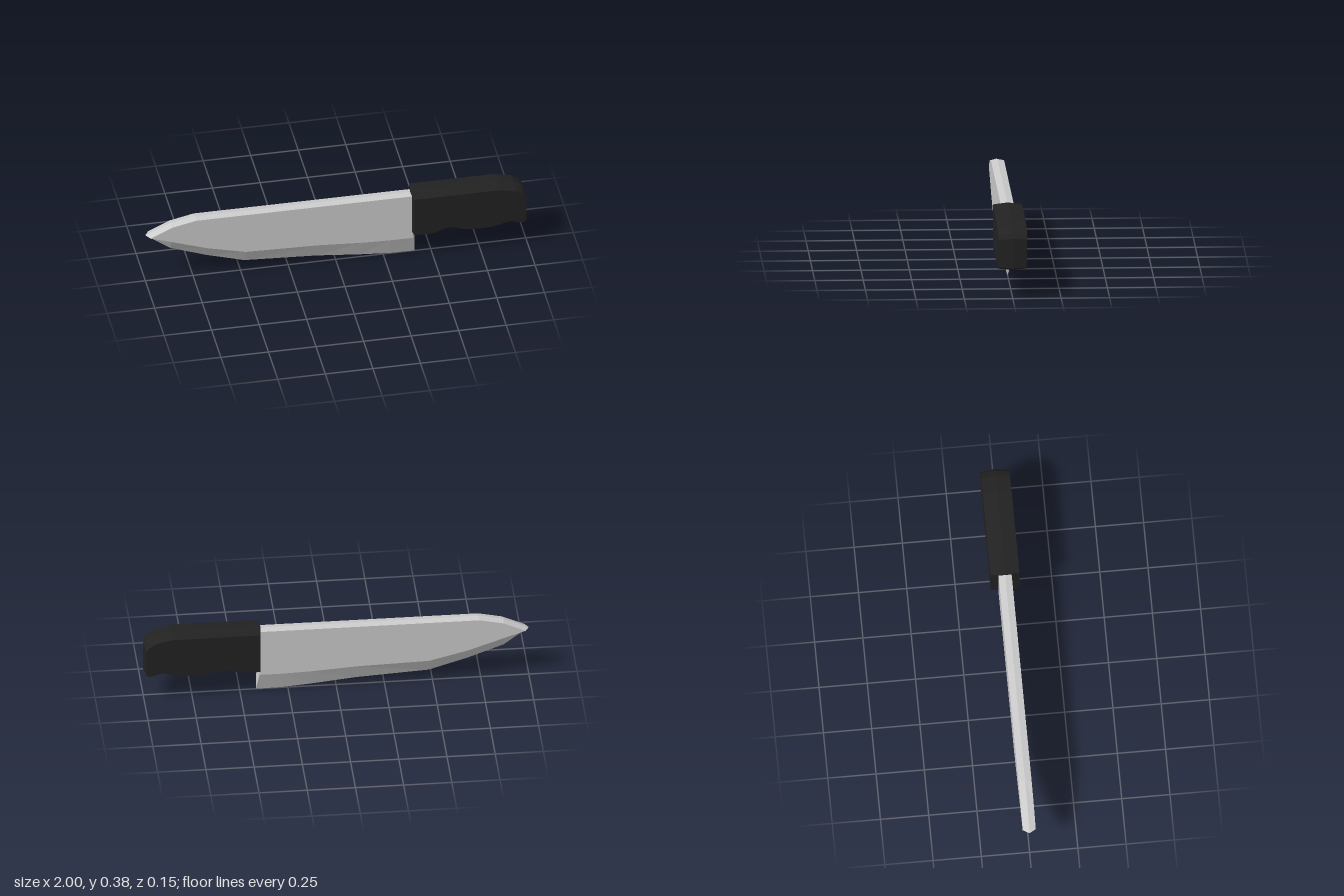
import * as THREE from 'three';

// Slab with a ridged rim: each row is [rimX, rimY, sideX, sideY], counter-clockwise
// from the front. The rim lies on z = 0, the flat sides on z = +/- depth.
function ridgedSlab(rows, depth) {
  const pos = [];
  const rim = rows.map(([x, y]) => [x, y, 0]);
  const side = rows.map(([, , x, y]) => [x, y, depth]);
  const tri = (a, b, c) => {
    pos.push(...a, ...b, ...c);
    for (const p of [a, c, b]) pos.push(p[0], p[1], -p[2]); // mirrored half
  };
  rows.forEach((_, i) => {
    const j = (i + 1) % rows.length;
    tri(rim[i], rim[j], side[j]);
    tri(rim[i], side[j], side[i]);
  });
  const flat = side.map(([x, y]) => new THREE.Vector2(x, y));
  for (const [a, b, c] of THREE.ShapeUtils.triangulateShape(flat, [])) tri(side[a], side[b], side[c]);
  const geometry = new THREE.BufferGeometry();
  geometry.setAttribute('position', new THREE.Float32BufferAttribute(pos, 3));
  geometry.computeVertexNormals();
  return geometry;
}

function part(name, geometry, color) {
  const mesh = new THREE.Mesh(geometry, new THREE.MeshStandardMaterial({ color, flatShading: true }));
  mesh.name = name;
  return mesh;
}

export function createModel() {
  const group = new THREE.Group();
  group.name = 'kitchenKnife';

  // Blade: tip, cutting edge with its bevel line, heel, then spine
  const blade = [
    [-1, 0.287, -0.98, 0.286],
    [-0.87, 0.19, -0.87, 0.25],
    [-0.68, 0.12, -0.68, 0.185],
    [-0.48, 0.06, -0.48, 0.135],
    [-0.1, 0.038, -0.1, 0.125],
    [0.13, 0.014, 0.13, 0.11],
    [0.28, 0.002, 0.28, 0.105],
    [0.415, 0, 0.4, 0.105],
    [0.415, 0.372, 0.4, 0.366],
    [-0.74, 0.372, -0.74, 0.366],
    [-0.87, 0.347, -0.865, 0.339],
  ];
  group.add(part('blade', ridgedSlab(blade, 0.034), 0xcccccc));

  // Handle: finger grooves along the bottom, butt, then rounded top
  const handle = [
    [0.392, 0.14, 0.4, 0.148],
    [0.48, 0.14, 0.478, 0.148],
    [0.52, 0.147, 0.518, 0.155],
    [0.565, 0.164, 0.563, 0.172],
    [0.6, 0.167, 0.6, 0.175],
    [0.65, 0.148, 0.652, 0.156],
    [0.7, 0.139, 0.702, 0.147],
    [0.8, 0.139, 0.798, 0.147],
    [0.85, 0.148, 0.848, 0.156],
    [0.9, 0.164, 0.9, 0.172],
    [0.975, 0.145, 0.972, 0.154],
    [1, 0.157, 0.99, 0.163],
    [1, 0.314, 0.99, 0.308],
    [0.98, 0.338, 0.973, 0.331],
    [0.94, 0.361, 0.936, 0.353],
    [0.85, 0.38, 0.849, 0.372],
    [0.392, 0.38, 0.4, 0.372],
  ];
  group.add(part('handle', ridgedSlab(handle, 0.075), 0x222222));

  return group;
}
